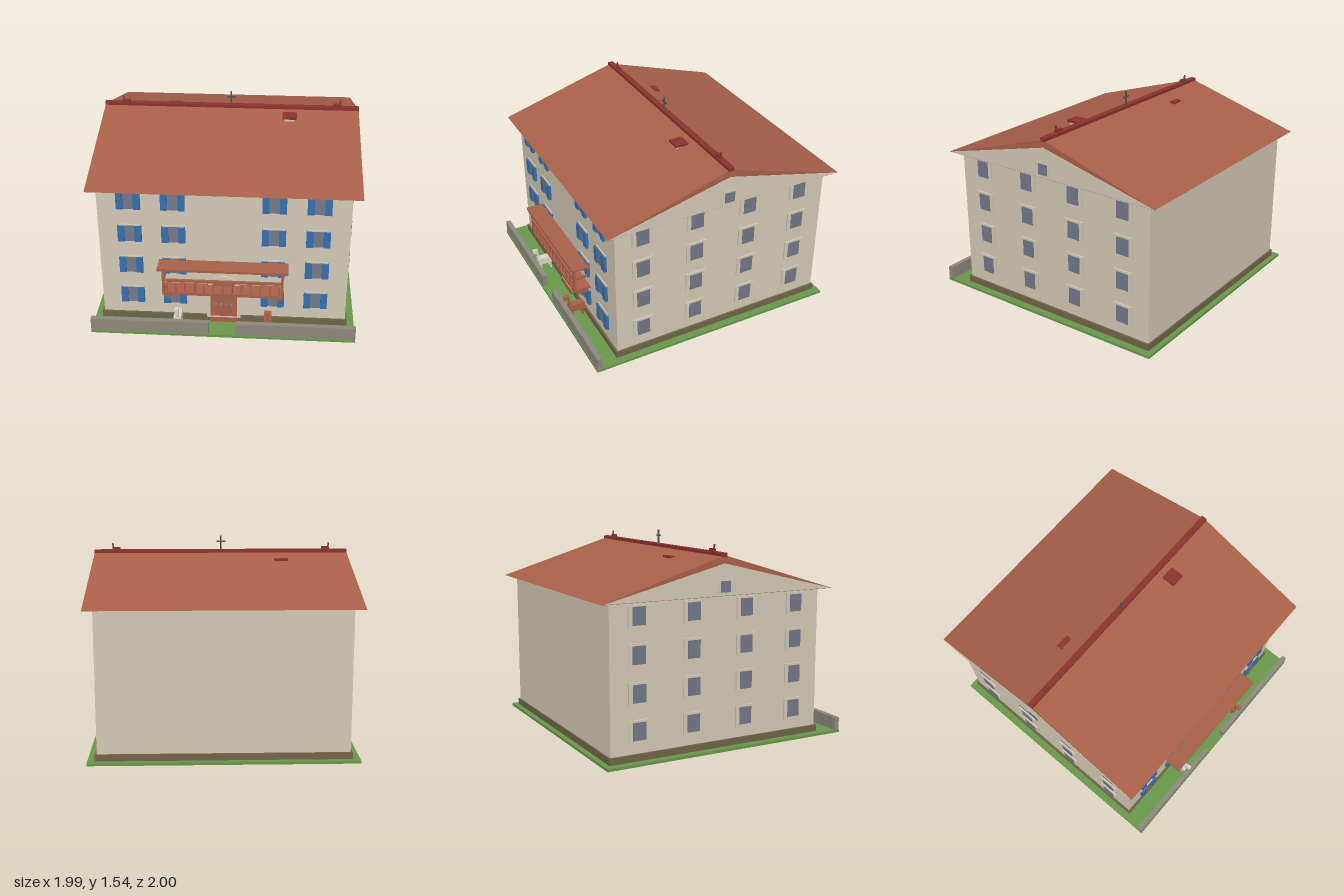
import * as THREE from 'three';

const mat = (name, color) => {
  const m = new THREE.MeshStandardMaterial({ color });
  m.name = name;
  return m;
};

export function createModel() {
  const house = new THREE.Group();
  house.name = 'house';
  const cream = mat('cream plaster', 0xd2c9b4), brick = mat('terracotta', 0xa86049),
    red = mat('dark red', 0x8c322e), blue = mat('shutter blue', 0x356fae),
    glass = mat('window glass', 0x737889), stone = mat('grey stone', 0x8d887f),
    brown = mat('plinth brown', 0x716449), green = mat('lawn green', 0x68974a),
    iron = mat('dark iron', 0x55524a), white = mat('off white', 0xd8d5cb);

  const add = (name, geo, m, parent = house) => {
    const mesh = new THREE.Mesh(geo, m);
    mesh.name = name;
    parent.add(mesh);
    return mesh;
  };
  // box given by its lower and upper limits on each axis
  const box = (name, m, x0, x1, y0, y1, z0, z1, parent) => {
    const g = new THREE.BoxGeometry(x1 - x0, y1 - y0, z1 - z0);
    g.translate((x0 + x1) / 2, (y0 + y1) / 2, (z0 + z1) / 2);
    return add(name, g, m, parent);
  };
  const group = (name, x = 0, y = 0, z = 0, ry = 0) => {
    const g = new THREE.Group();
    g.name = name;
    g.position.set(x, y, z);
    g.rotation.y = ry;
    house.add(g);
    return g;
  };

  // ground, plinth and walls
  box('lawn', green, -0.985, 0.985, 0, 0.02, -0.97, 1);
  box('plinth', brown, -0.93, 0.93, 0.02, 0.07, -0.93, 0.82);
  box('walls', cream, -0.915, 0.915, 0.07, 1.136, -0.918, 0.805);
  for (const s of [-1, 1])
    box('gardenWall', stone, s < 0 ? -0.985 : 0.1, s < 0 ? -0.1 : 0.985, 0.02, 0.12, 0.957, 0.995);

  // roof prism with cream gables showing at both ends
  const prism = (name, m, z0, z1, y0, peak, half) => {
    const s = new THREE.Shape([[z0, y0], [z1, y0], [-0.058, peak]].map(p => new THREE.Vector2(...p)));
    const g = new THREE.ExtrudeGeometry(s, { depth: half * 2, bevelEnabled: false });
    g.translate(0, 0, -half);
    g.rotateY(-Math.PI / 2);
    return add(name, g, m);
  };
  prism('roof', brick, -1, 0.884, 1.133, 1.418, 0.982);
  prism('gables', cream, -0.985, 0.869, 1.136, 1.362, 0.985);
  box('ridge', red, -0.983, 0.983, 1.405, 1.435, -0.083, -0.038);

  // ridge ornaments and cross
  for (const s of [-1, 1]) {
    const o = group('ridgeOrnament', s * 0.815, 1.435, -0.06);
    box('ornamentBase', red, -0.03, 0.03, 0, 0.02, -0.012, 0.012, o);
    const horn = box('ornamentHorn', red, -0.005, 0.005, 0, 0.035, -0.005, 0.005, o);
    horn.position.set(s * 0.022, 0.016, 0);
    horn.rotation.z = -s * 0.15;
  }
  box('crossPost', iron, -0.005, 0.005, 1.43, 1.54, -0.064, -0.054);
  box('crossArm', iron, -0.035, 0.035, 1.491, 1.501, -0.064, -0.054);

  // chimney and roof vent
  box('chimney', cream, 0.415, 0.49, 1.34, 1.392, 0.025, 0.1);
  box('chimneyCap', red, 0.4, 0.507, 1.392, 1.41, 0.01, 0.115);
  box('roofVent', red, -0.51, -0.405, 1.34, 1.38, -0.235, -0.19);

  // windows
  const rows = [0.232, 0.498, 0.766, 1.035];
  for (const y of rows) {
    for (const x of [-0.685, -0.365, 0.365, 0.685]) {
      const w = group('frontWindow', x, y, 0.805);
      box('windowFrame', cream, -0.08, 0.08, -0.066, 0.074, -0.01, 0.008, w);
      box('windowPane', glass, -0.045, 0.045, -0.064, 0.064, 0, 0.012, w);
      for (const s of [-1, 1]) {
        box('shutter', blue, s * 0.062 - 0.025, s * 0.062 + 0.025, -0.064, 0.064, 0, 0.022, w);
      }
    }
    for (const s of [-1, 1]) for (const z of [0.595, 0.165, -0.27, -0.7]) {
      const w = group('sideWindow', s * 0.915, y, z, s * Math.PI / 2);
      box('windowFrame', cream, -0.08, 0.08, -0.08, 0.08, -0.01, 0.012, w);
      box('windowPane', glass, -0.05, 0.05, -0.064, 0.064, 0, 0.017, w);
    }
  }
  for (const s of [-1, 1]) {
    const w = group('gableWindow', s * 0.985, 1.2, -0.055, s * Math.PI / 2);
    box('windowFrame', cream, -0.055, 0.055, -0.055, 0.055, -0.01, 0.004, w);
    box('windowPane', glass, -0.04, 0.04, -0.04, 0.04, 0, 0.008, w);
  }

  // arched doorway
  const arch = (name, m, r, y0, spring, rise, z0, z1) => {
    const s = new THREE.Shape();
    s.moveTo(-r, y0);
    s.lineTo(r, y0);
    s.lineTo(r, spring);
    s.absellipse(0, spring, r, rise, 0, Math.PI, false);
    s.lineTo(-r, y0);
    const g = new THREE.ExtrudeGeometry(s, { depth: z1 - z0, bevelEnabled: false, curveSegments: 12 });
    g.translate(0, 0, z0);
    add(name, g, m);
  };
  arch('doorFrame', cream, 0.126, 0.05, 0.3, 0.12, 0.79, 0.822);
  arch('door', brick, 0.1, 0.07, 0.3, 0.09, 0.8, 0.828);
  box('threshold', cream, -0.1, 0.1, 0.06, 0.07, 0.8, 0.83);
  box('doorStep', brick, -0.1, 0.1, 0.02, 0.06, 0.8, 0.835);
  for (const s of [-1, 1]) for (const [x, y] of [[0.02, 0.26], [0.06, 0.26], [0.06, 0.178], [0.02, 0.178]])
    box('doorStud', stone, s * x - 0.007, s * x + 0.007, y - 0.009, y + 0.009, 0.825, 0.832);

  // balcony with railing and canopy
  const b = group('balcony');
  box('balconyFloor', brick, -0.445, 0.445, 0.322, 0.344, 0.8, 0.935, b);
  box('canopy', brick, -0.477, 0.477, 0.538, 0.556, 0.82, 0.955, b);
  box('frontRail', brick, -0.445, 0.445, 0.436, 0.454, 0.917, 0.935, b);
  for (const s of [-1, 1]) {
    box('balconyPost', brick, s * 0.436 - 0.009, s * 0.436 + 0.009, 0.34, 0.54, 0.917, 0.935, b);
    box('sideRail', brick, s * 0.436 - 0.009, s * 0.436 + 0.009, 0.436, 0.454, 0.8, 0.92, b);
    box('bracket', brick, s * 0.408 - 0.018, s * 0.408 + 0.018, 0.28, 0.325, 0.8, 0.91, b);
  }
  for (let i = -6; i <= 6; i++)
    box('baluster', brick, i * 0.069 - 0.006, i * 0.069 + 0.006, 0.34, 0.422, 0.92, 0.932, b);

  // two standing animals in the front garden
  for (const [x, m] of [[-0.338, white], [0.335, brick]]) {
    const a = group('animal', x, 0, 0);
    box('body', m, -0.028, 0.028, 0.075, 0.132, 0.825, 0.948, a);
    const neck = box('neck', m, -0.011, 0.011, 0, 0.085, -0.009, 0.009, a);
    neck.position.set(0, 0.12, 0.937);
    neck.rotation.x = 0.15;
    box('head', m, -0.014, 0.014, 0.19, 0.22, 0.942, 0.982, a);
    for (const s of [-1, 1]) for (const z of [0.843, 0.927])
      box('leg', m, s * 0.02 - 0.006, s * 0.02 + 0.006, 0.02, 0.08, z - 0.006, z + 0.006, a);
  }
  return house;
}
